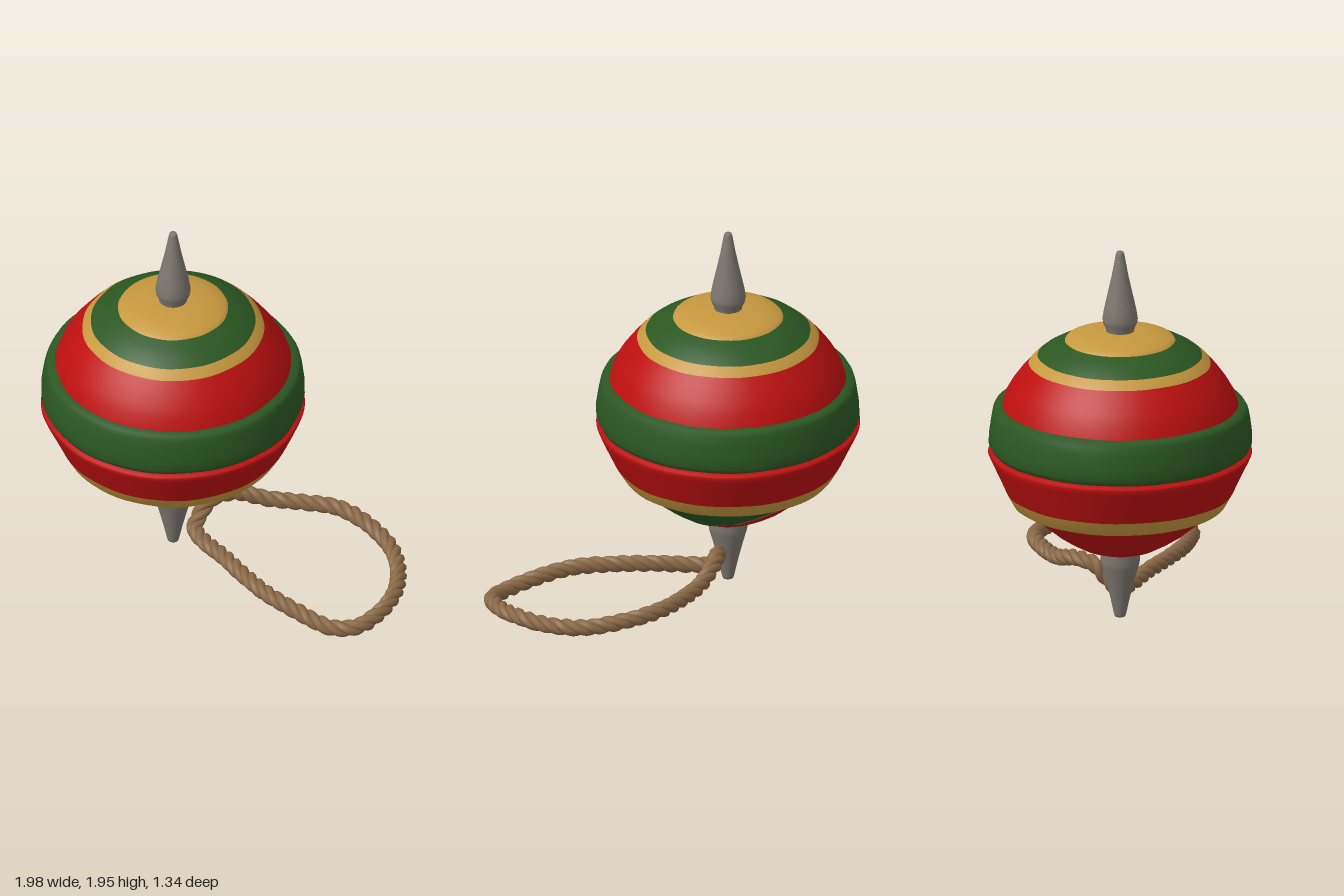
import * as THREE from 'three';

const flat = (name, color) => {
  const m = new THREE.MeshStandardMaterial({ color });
  m.name = name;
  return m;
};

export function createModel() {
  const red = flat('red paint', 0xbe1010);
  const green = flat('green paint', 0x2b5722);
  const gold = flat('gold paint', 0xc6983f);
  const steel = flat('steel', 0x7d7770);
  const fibre = flat('rope fibre', 0x8a6845);
  const wood = flat('bare wood', 0x8f7350);

  const model = new THREE.Group();
  model.name = 'spinningTop';
  const top = new THREE.Group();
  top.name = 'top';
  top.position.x = -0.33;
  model.add(top);

  // Slight hand-carved unevenness, continuous over the whole body
  const carve = (geometry) => {
    const p = geometry.attributes.position;
    for (let i = 0; i < p.count; i++) {
      const a = Math.atan2(p.getX(i), p.getZ(i)), y = p.getY(i);
      const s = 1 + 0.003 * Math.sin(5 * a + 9 * y) + 0.003 * Math.sin(11 * a - 14 * y);
      p.setX(i, p.getX(i) * s);
      p.setZ(i, p.getZ(i) * s);
    }
    return geometry;
  };
  const turned = (name, material, profile, segments = 80) => {
    const points = profile.map(([r, y]) => new THREE.Vector2(r, y));
    const mesh = new THREE.Mesh(carve(new THREE.LatheGeometry(points, segments)), material);
    mesh.name = name;
    top.add(mesh);
  };

  // Painted bands, bottom to top
  const belly = [[0.27, 0.42], [0.33, 0.46], [0.385, 0.505], [0.44, 0.55], [0.485, 0.595]];
  turned('underside', red, [[0.04, 0.35], [0.13, 0.355], [0.2, 0.38], ...belly]);
  turned('lowerGoldLip', gold, [[0.48, 0.595], [0.52, 0.597], [0.54, 0.61], [0.58, 0.68]]);
  turned('lowerRedBand', red, [[0.58, 0.68], [0.61, 0.745], [0.64, 0.81], [0.66, 0.855],
    [0.67, 0.88], [0.665, 0.892], [0.63, 0.9]]);
  turned('greenRim', green, [[0.63, 0.897], [0.655, 0.907], [0.668, 0.935], [0.667, 0.99],
    [0.657, 1.06], [0.648, 1.105], [0.635, 1.128], [0.59, 1.134]]);
  turned('upperRedBand', red, [[0.602, 1.125], [0.58, 1.19], [0.545, 1.25], [0.5, 1.31], [0.462, 1.352]]);
  turned('goldStripe', gold, [[0.462, 1.352], [0.445, 1.372], [0.418, 1.395]]);
  turned('upperGreenBand', green, [[0.418, 1.395], [0.38, 1.425], [0.33, 1.453], [0.28, 1.474]]);
  turned('crown', gold, [[0.28, 1.474], [0.265, 1.49], [0.2, 1.512], [0.12, 1.522], [0.03, 1.525]]);

  // Steel spikes
  turned('lowerSpike', steel, [[0, 0], [0.027, 0], [0.031, 0.012], [0.05, 0.1], [0.075, 0.2],
    [0.095, 0.27], [0.101, 0.3], [0.1, 0.37]], 32);
  turned('upperSpike', steel, [[0.07, 1.51], [0.072, 1.535], [0.086, 1.565], [0.09, 1.59],
    [0.082, 1.64], [0.062, 1.73], [0.042, 1.82], [0.021, 1.935], [0.017, 1.945], [0, 1.945]], 32);

  // Paint patches on the underside: start and end angle vary with height
  const patch = (name, material, lift, from, to) => {
    const points = belly.map(([r, y]) => new THREE.Vector2(r + lift, y - lift));
    const geometry = new THREE.LatheGeometry(points, 48, 0, 1);
    const p = geometry.attributes.position;
    const normal = geometry.attributes.normal;
    for (let i = 0; i < p.count; i++) {
      const t = Math.atan2(p.getX(i), p.getZ(i)), y = p.getY(i);
      const r = Math.hypot(p.getX(i), p.getZ(i));
      const edge = Math.asin(Math.min(1, Math.max(0, 1.25 * (0.595 - y) / r)));
      const a = THREE.MathUtils.lerp(from(edge), to(edge), t);
      const n = Math.hypot(normal.getX(i), normal.getZ(i));
      p.setXYZ(i, r * Math.sin(a), y, r * Math.cos(a));
      normal.setXYZ(i, n * Math.sin(a), normal.getY(i), n * Math.cos(a));
    }
    const mesh = new THREE.Mesh(carve(geometry), material);
    mesh.name = name;
    top.add(mesh);
  };
  patch('greenPatch', green, 0.004, (e) => e, (e) => 2.97 - e);
  patch('bareStreak', wood, 0.003, (e) => 2.95 - e, (e) => 3.1 - e);

  // Rope loop: three strands twisted round one closed path
  const path = new THREE.CatmullRomCurve3([
    [-0.2, 0.16, -0.04], [-0.16, 0.225, -0.1], [-0.06, 0.235, -0.18], [0.1, 0.19, -0.24],
    [0.27, 0.18, -0.28], [0.45, 0.18, -0.295], [0.62, 0.165, -0.24], [0.8, 0.14, -0.11],
    [0.9, 0.13, 0.07], [0.935, 0.13, 0.25], [0.9, 0.11, 0.41], [0.83, 0.095, 0.52],
    [0.7, 0.085, 0.555], [0.5, 0.11, 0.51], [0.32, 0.125, 0.44], [0.16, 0.125, 0.33],
    [0, 0.12, 0.2], [-0.14, 0.105, 0.09], [-0.21, 0.11, 0.01],
  ].map((v) => new THREE.Vector3(...v)), true);
  const steps = 300, turns = 15;
  const frames = path.computeFrenetFrames(steps, true);
  const rope = new THREE.Group();
  rope.name = 'ropeLoop';
  for (let s = 0; s < 3; s++) {
    const points = [];
    for (let i = 0; i < steps; i++) {
      const a = (i / steps) * turns * Math.PI * 2 + (s * Math.PI * 2) / 3;
      points.push(path.getPointAt(i / steps)
        .addScaledVector(frames.normals[i], 0.021 * Math.cos(a))
        .addScaledVector(frames.binormals[i], 0.021 * Math.sin(a)));
    }
    const strand = new THREE.CatmullRomCurve3(points, true);
    const mesh = new THREE.Mesh(new THREE.TubeGeometry(strand, 450, 0.023, 8, true), fibre);
    mesh.name = 'ropeStrand';
    rope.add(mesh);
  }
  model.add(rope);
  return model;
}
